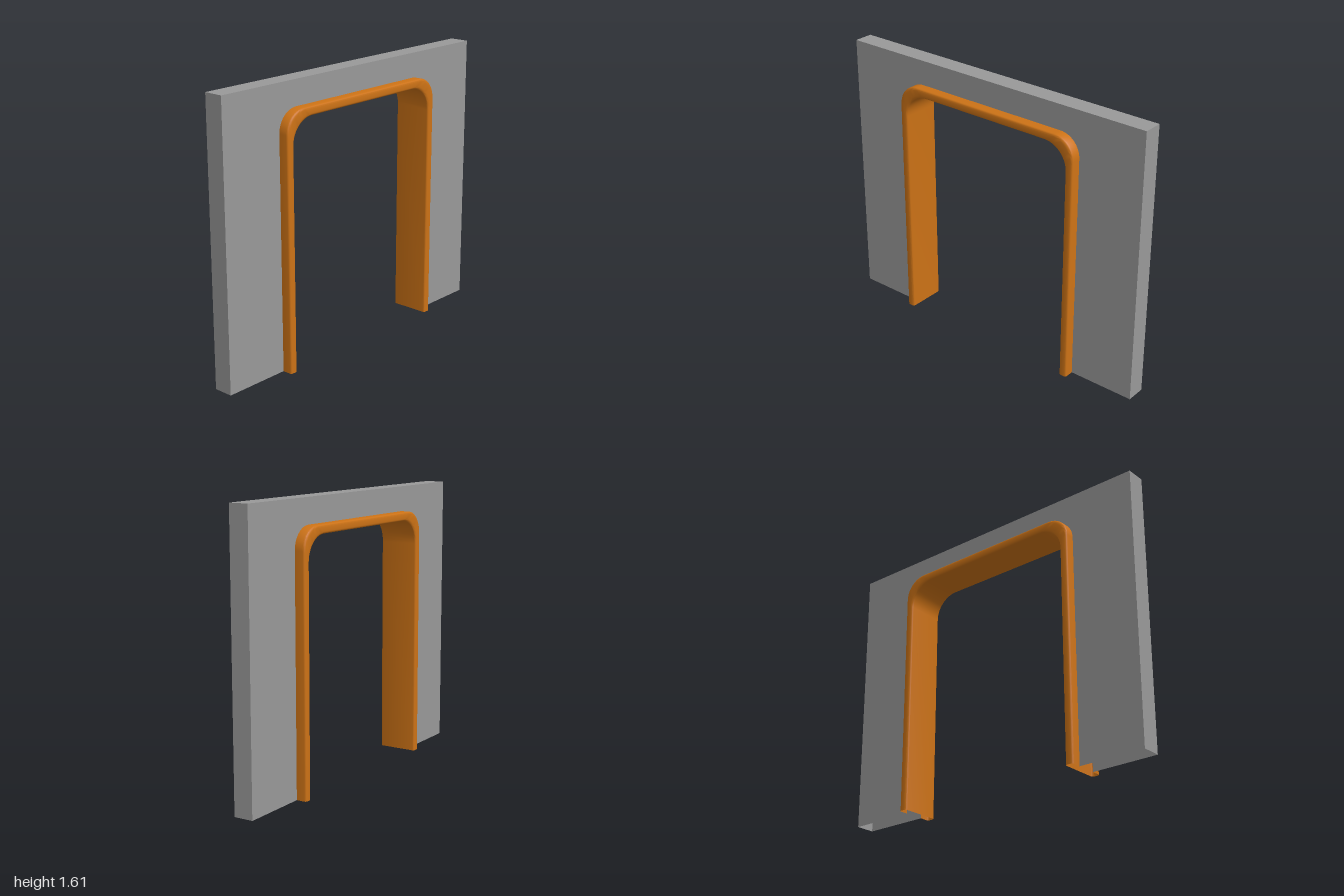
import * as THREE from 'three';
import { toCreasedNormals } from 'three/addons/utils/BufferGeometryUtils.js';

const WALL_X = 0.057;   // half thickness of the wall
const TRIM_X = 0.117;   // half depth of the door trim
const HEIGHT = 1.61;
const CORNER_STEPS = 12;

// Arch outline in (z, y); d = 0 is the inner edge of the trim, d = 1 the outer edge
function archOutline(d) {
  const w = 0.558 + 0.047 * d, top = 1.415 + 0.05 * d, r = 0.145 - 0.02 * d;
  const half = [new THREE.Vector2(w, 0)];
  for (let i = 0; i <= CORNER_STEPS; i++) {
    const a = (i / CORNER_STEPS) * Math.PI / 2;
    half.push(new THREE.Vector2(w - r + r * Math.cos(a), top - r + r * Math.sin(a)));
  }
  const mirrored = half.map(p => new THREE.Vector2(-p.x, p.y)).reverse();
  return [...half, ...mirrored];
}

// Channel section in (x, d), open towards the wall, with rounded front edges
function trimSection() {
  const f = 0.012, fd = f / 0.047, half = [[WALL_X, 1]];
  for (const [cd, start] of [[1 - fd, Math.PI / 2], [fd, 0]]) {
    for (let i = 0; i <= 4; i++) {
      const a = start - (i / 4) * Math.PI / 2;
      half.push([TRIM_X - f + f * Math.cos(a), cd + fd * Math.sin(a)]);
    }
  }
  return [...half, ...half.map(([x, d]) => [-x, d]).reverse()];
}

function trimGeometry() {
  const rows = trimSection().map(([x, d]) => archOutline(d).map(p => [x, p.y, p.x]));
  const n = rows[0].length, index = [];
  for (let i = 0; i < rows.length - 1; i++) {
    for (let j = 0; j < n - 1; j++) {
      const a = i * n + j, b = a + n;
      index.push(a, a + 1, b, b, a + 1, b + 1);
    }
  }
  const g = new THREE.BufferGeometry();
  g.setAttribute('position', new THREE.Float32BufferAttribute(rows.flat(2), 3));
  g.setIndex(index);
  return toCreasedNormals(g, Math.PI / 6);
}

export function createModel() {
  const model = new THREE.Group();
  const wallMat = new THREE.MeshStandardMaterial({ color: 0x999999, side: THREE.DoubleSide });
  const trimMat = new THREE.MeshStandardMaterial({ color: 0xcc7216, side: THREE.DoubleSide });

  const add = (parent, name, geometry, material) => {
    const mesh = new THREE.Mesh(geometry, material);
    mesh.name = name;
    parent.add(mesh);
    return mesh;
  };

  // Hollow wall, open underneath
  const wall = new THREE.Group();
  wall.name = 'wall';
  model.add(wall);

  // Both wall faces, cut out around the doorway
  const face = new THREE.Shape([
    new THREE.Vector2(1, 0), new THREE.Vector2(1, HEIGHT),
    new THREE.Vector2(-1, HEIGHT), new THREE.Vector2(-1, 0),
    ...archOutline(1).reverse(),
  ]);
  for (const s of [1, -1]) {
    const side = s > 0 ? 'left' : 'right';
    add(wall, side + 'WallFace',
      new THREE.ShapeGeometry(face).rotateY(s * Math.PI / 2).translate(s * WALL_X, 0, 0), wallMat);

    // Narrow wall ends
    const end = new THREE.PlaneGeometry(2 * WALL_X, HEIGHT);
    if (s < 0) end.rotateY(Math.PI);
    add(wall, s > 0 ? 'frontWallEnd' : 'backWallEnd', end.translate(0, HEIGHT / 2, s), wallMat);
  }

  // Top of the wall
  add(wall, 'wallTop',
    new THREE.PlaneGeometry(2 * WALL_X, 2).rotateX(-Math.PI / 2).translate(0, HEIGHT, 0), wallMat);

  // Door trim swept around the doorway
  add(model, 'doorTrim', trimGeometry(), trimMat);
  return model;
}
